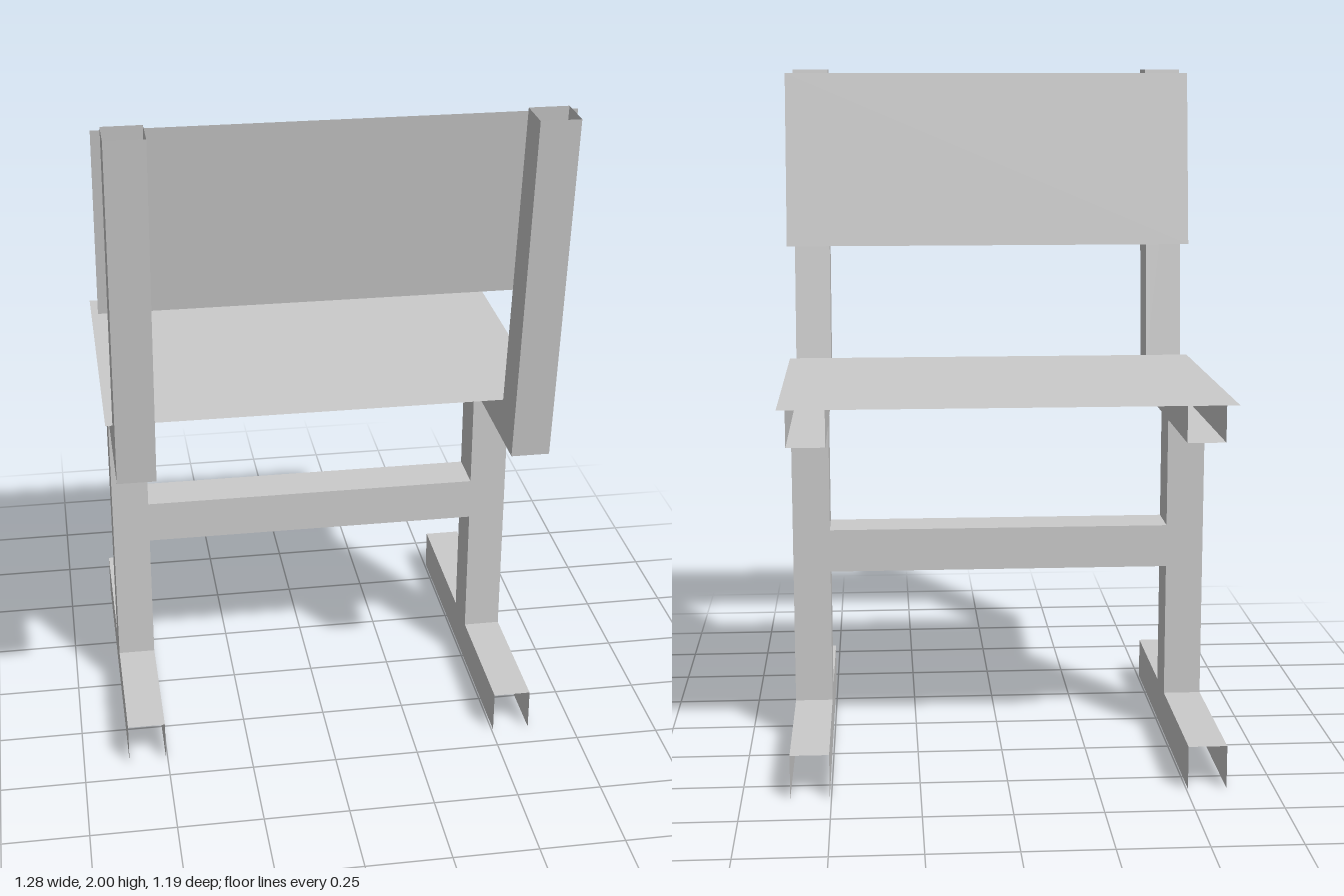
import * as THREE from 'three';

const material = new THREE.MeshStandardMaterial({ color: 0xcccccc, side: THREE.DoubleSide });

// Sheet of flat faces joining two matching cross-sections; ends stay open.
function loft(name, a, b, closed = false) {
  const positions = [];
  const edges = closed ? a.length : a.length - 1;
  for (let i = 0; i < edges; i++) {
    const j = (i + 1) % a.length;
    positions.push(...a[i], ...a[j], ...b[j], ...a[i], ...b[j], ...b[i]);
  }
  const geometry = new THREE.BufferGeometry();
  geometry.setAttribute('position', new THREE.Float32BufferAttribute(positions, 3));
  geometry.computeVertexNormals();
  const mesh = new THREE.Mesh(geometry, material);
  mesh.name = name;
  return mesh;
}

export function createModel() {
  const chair = new THREE.Group();
  chair.name = 'chair';
  const footTop = 0.125, railBottom = 0.975, seatY = 1.097;
  const postFront = -0.125, postBack = 0.01;
  const inner = 0.505, outer = 0.615;

  for (const [side, x0, x1] of [['left', inner, outer], ['right', -outer, -inner]]) {
    const frame = new THREE.Group();
    frame.name = side + 'Frame';

    // Foot: channel open below and at both ends
    const foot = z => [[x1, 0, z], [x1, footTop, z], [x0, footTop, z], [x0, 0, z]];
    frame.add(loft('foot', foot(-0.595), foot(0.42)));

    // Vertical leg
    const leg = y => [[x0, y, postBack], [x1, y, postBack], [x1, y, postFront], [x0, y, postFront]];
    frame.add(loft('leg', leg(footTop), leg(railBottom), true));

    // Seat rail: channel closed on top by the seat, mitred at the rear
    const rail = (zTop, zBottom) => [
      [x0, seatY, zTop], [x0, railBottom, zBottom], [x1, railBottom, zBottom], [x1, seatY, zTop]];
    frame.add(loft('seatRail', rail(-0.48, -0.48), rail(0.355, 0.475)));

    // Leaning upright: open tube rising from the mitre
    const upright = (yBack, zBack, yFront, zFront) => [
      [x0, yBack, zBack], [x1, yBack, zBack], [x1, yFront, zFront], [x0, yFront, zFront]];
    frame.add(loft('backUpright',
      upright(railBottom, 0.475, seatY, 0.355), upright(2, 0.595, 2, 0.474), true));
    chair.add(frame);
  }

  // Crossbar between the legs: channel open below
  const bar = x => [[x, 0.525, postFront], [x, 0.652, postFront], [x, 0.652, postBack], [x, 0.525, postBack]];
  chair.add(loft('crossbar', bar(-inner), bar(inner)));

  // Thin seat and backrest panels
  const seat = x => [[x, seatY, -0.57], [x, seatY, 0.355]];
  chair.add(loft('seat', seat(-0.635), seat(0.635)));
  const back = x => [[x, 1.45, 0.386], [x, 1.99, 0.47]];
  chair.add(loft('backrest', back(-0.64), back(0.64)));

  return chair;
}
